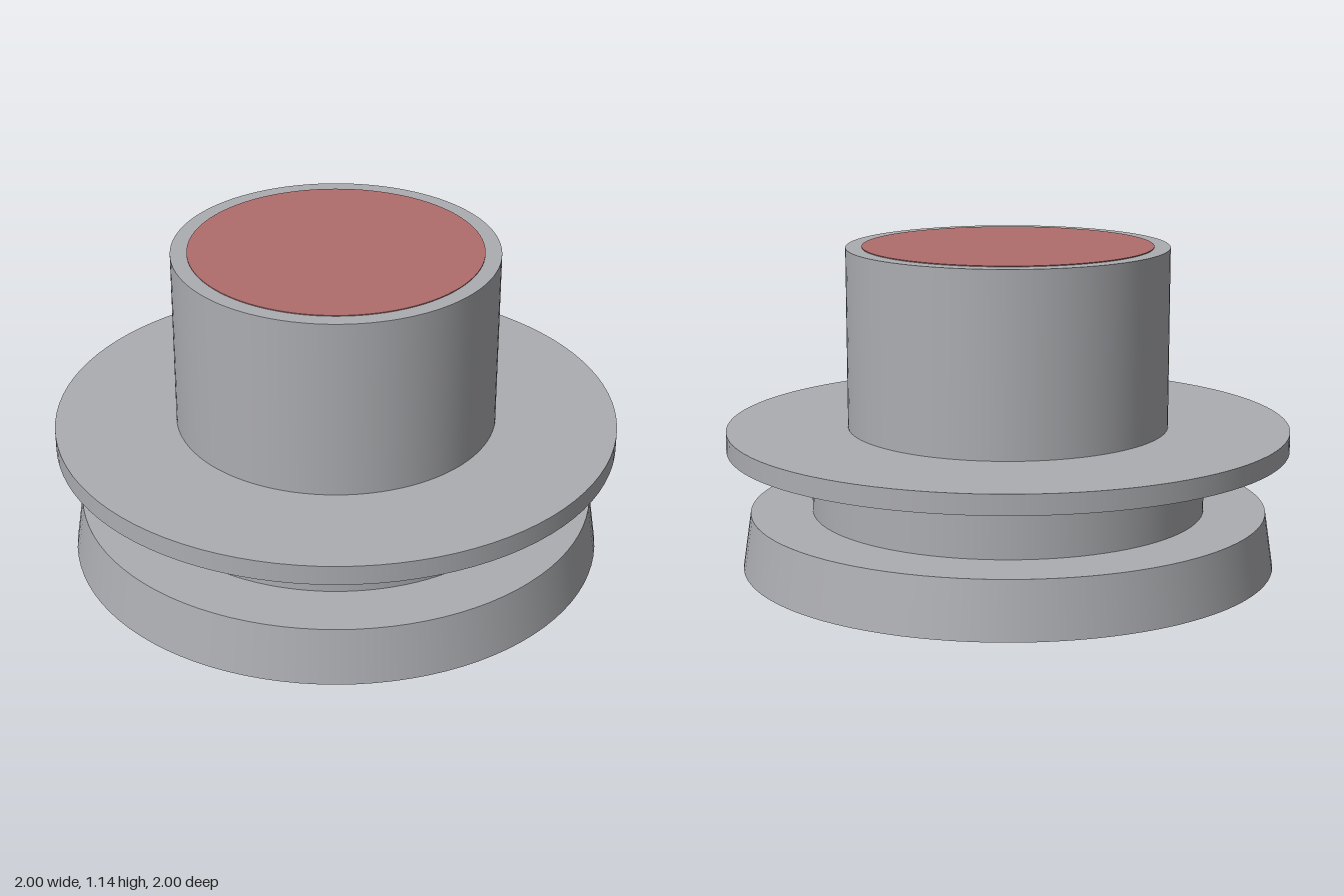
import * as THREE from 'three';

export function createModel() {
  const model = new THREE.Group();
  const metal = new THREE.MeshStandardMaterial({ color: 0xacadb1 });
  metal.name = 'grey metal';
  const red = new THREE.MeshStandardMaterial({ color: 0xb06c6c });
  red.name = 'muted red';

  // Adds a round section standing between two heights
  function addSection(name, topRadius, bottomRadius, y0, y1, material = metal) {
    const geometry = new THREE.CylinderGeometry(topRadius, bottomRadius, y1 - y0, 96);
    const mesh = new THREE.Mesh(geometry, material);
    mesh.name = name;
    mesh.position.y = (y0 + y1) / 2;
    model.add(mesh);
  }

  addSection('taperedBase', 0.92, 0.95, 0, 0.2);
  addSection('neck', 0.7, 0.7, 0.2, 0.43);
  addSection('flange', 1, 1, 0.43, 0.5);
  addSection('buttonHousing', 0.57, 0.57, 0.5, 1.14);

  // Thin coloured disc on top of the housing
  addSection('buttonFace', 0.513, 0.513, 1.139, 1.143, red);

  return model;
}
